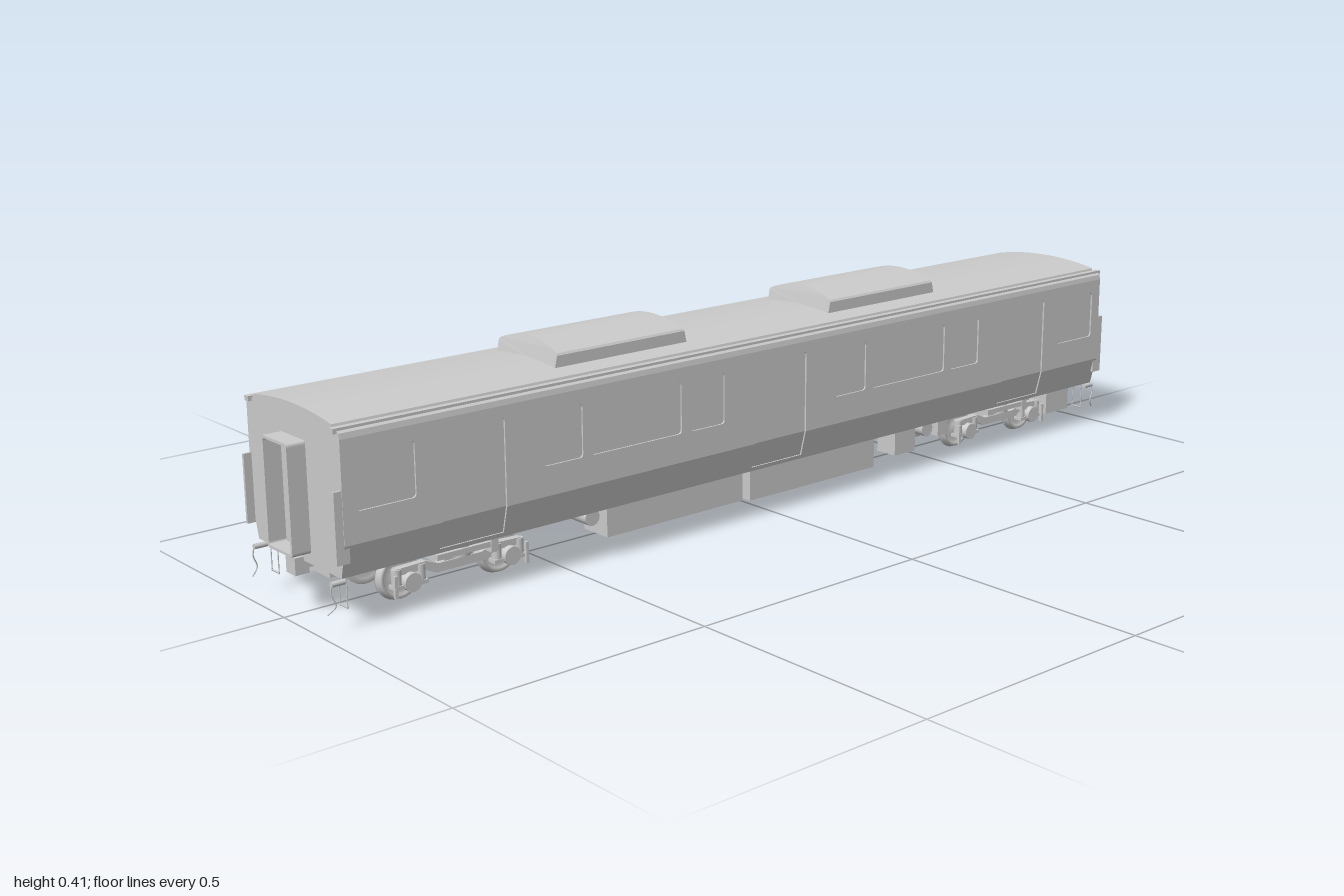
import * as THREE from 'three';

const grey = new THREE.MeshStandardMaterial({ color: 0xcccccc });
const UP = 0.335, WAIST = 0.155, SILL = 0.097;
const DOORS = [-0.71, 0, 0.71], DOOR_HALF = 0.066;
// [start, end] of each window on the +z half of a side
const WINDOWS = [[0.145, 0.23], [0.25, 0.46], [0.478, 0.565], [0.825, 0.94]];

function add(parent, name, geo, x = 0, y = 0, z = 0) {
  const mesh = new THREE.Mesh(geo, grey);
  mesh.name = name;
  mesh.position.set(x, y, z);
  parent.add(mesh);
  return mesh;
}
function box(parent, name, x0, x1, y0, y1, z0, z1) {
  return add(parent, name, new THREE.BoxGeometry(x1 - x0, y1 - y0, Math.abs(z1 - z0)),
    (x0 + x1) / 2, (y0 + y1) / 2, (z0 + z1) / 2);
}
function cyl(parent, name, r, len, axis, x, y, z, seg = 20) {
  const g = new THREE.CylinderGeometry(r, r, len, seg);
  if (axis === 'x') g.rotateZ(Math.PI / 2);
  if (axis === 'z') g.rotateX(Math.PI / 2);
  return add(parent, name, g, x, y, z);
}
function extrude(shape, depth) {
  return new THREE.ExtrudeGeometry(shape, { depth, bevelEnabled: false, curveSegments: 5 });
}
// shape drawn in (z, y), thickness running inward from x = 0
function extrudeSide(shape, depth) {
  return extrude(shape, depth).rotateY(-Math.PI / 2);
}
function polygon(points) {
  return new THREE.Shape(points.map(([a, b]) => new THREE.Vector2(a, b)));
}
function roundRect(x0, x1, y0, y1, r, S = THREE.Shape) {
  const s = new S();
  s.moveTo(x0 + r, y0).lineTo(x1 - r, y0).quadraticCurveTo(x1, y0, x1, y0 + r)
    .lineTo(x1, y1 - r).quadraticCurveTo(x1, y1, x1 - r, y1)
    .lineTo(x0 + r, y1).quadraticCurveTo(x0, y1, x0, y1 - r)
    .lineTo(x0, y0 + r).quadraticCurveTo(x0, y0, x0 + r, y0);
  return s;
}
// closed cross-section symmetric about x = 0, from the right half listed bottom to top
function section(half) {
  return polygon([...half, ...half.slice().reverse().filter(p => p[0] > 0).map(([x, y]) => [-x, y])]);
}
function arc(xMax, yEdge, yTop, n) {
  return Array.from({ length: n + 1 }, (_, i) => {
    const x = xMax * (1 - i / n);
    return [x, yTop - (yTop - yEdge) * (x / xMax) ** 2];
  });
}

// Side skin: upper panel with windows, sloping lower panel, door openings through both
function buildSide() {
  const side = new THREE.Group();
  side.name = 'sideWall';
  const L = 0.962, T = 0.004, top = 0.315, foot = 0.105, r = 0.008;
  const upper = new THREE.Shape().moveTo(-L, WAIST);
  for (const d of DOORS) {
    const a = d - DOOR_HALF, b = d + DOOR_HALF;
    upper.lineTo(a, WAIST).lineTo(a, top - r).quadraticCurveTo(a, top, a + r, top)
      .lineTo(b - r, top).quadraticCurveTo(b, top, b, top - r).lineTo(b, WAIST);
  }
  upper.lineTo(L, WAIST).lineTo(L, UP).lineTo(-L, UP);
  for (const [a, b] of WINDOWS) {
    upper.holes.push(roundRect(a, b, 0.21, 0.308, r, THREE.Path), roundRect(-b, -a, 0.21, 0.308, r, THREE.Path));
  }
  add(side, 'windowPanel', extrudeSide(upper, T), 0.15);

  const pts = [[-L, SILL], [L, SILL], [L, WAIST]];
  for (const d of [...DOORS].reverse()) {
    const a = d - DOOR_HALF, b = d + DOOR_HALF;
    pts.push([b, WAIST], [b, foot], [a, foot], [a, WAIST]);
  }
  pts.push([-L, WAIST]);
  const lower = extrudeSide(polygon(pts), T);
  const p = lower.attributes.position;
  for (let i = 0; i < p.count; i++) p.setX(i, p.getX(i) + (p.getY(i) - WAIST) * 0.25);
  lower.computeVertexNormals();
  add(side, 'lowerPanel', lower, 0.15);
  // corner guard plates, roof gutter
  for (const s of [-1, 1]) box(side, 'cornerPlate', 0.144, 0.149, 0.125, 0.25, s * 0.955, s * 0.98);
  box(side, 'gutter', 0.131, 0.143, 0.344, 0.353, -0.972, 0.972);
  return side;
}

function buildBody() {
  const body = new THREE.Group();
  body.name = 'body';
  const roof = [[0.15, UP], [0.148, 0.345], [0.142, 0.349], [0.128, 0.35], [0.126, 0.356], ...arc(0.12, 0.358, 0.368, 8)];
  const core = [[0.132, SILL], [0.1465, WAIST], [0.1465, UP], ...roof];
  add(body, 'shell', extrude(section(core), 1.92), 0, 0, -0.96);
  const end = extrude(section([[0.1355, SILL], [0.15, WAIST], ...roof]), 0.006);
  for (const s of [-1, 1]) {
    add(body, 'endWall', end, 0, 0, s * 0.962 - 0.003);
    const side = buildSide();
    side.rotation.y = s > 0 ? 0 : Math.PI;
    body.add(side);
  }
  return body;
}

// Roof unit with arched top and slightly raked ends
function buildRoofUnit(parent, z) {
  const g = extrude(section([[0.088, 0.35], [0.088, 0.384], [0.085, 0.388], ...arc(0.08, 0.39, 0.405, 8)]), 0.31);
  g.translate(0, 0, -0.155);
  const p = g.attributes.position;
  for (let i = 0; i < p.count; i++) p.setZ(i, p.getZ(i) * (1 - Math.max(0, p.getY(i) - 0.36) * 2));
  g.computeVertexNormals();
  add(parent, 'roofUnit', g, 0, 0, z);
}

// Everything on one end: gangway, coupler, steps and hoses
function buildEnd() {
  const end = new THREE.Group();
  end.name = 'endFittings';
  const frame = roundRect(-0.041, 0.041, 0.115, 0.311, 0.007);
  frame.holes.push(roundRect(-0.036, 0.036, 0.12, 0.306, 0.005, THREE.Path));
  add(end, 'gangwayFrame', extrude(frame, 0.04), 0, 0, 0.96);
  add(end, 'gangwayDoor', extrude(roundRect(-0.037, 0.037, 0.119, 0.307, 0.005), 0.004), 0, 0, 0.963);
  box(end, 'couplerHead', -0.015, 0.015, 0.073, 0.104, 0.955, 0.982);
  box(end, 'couplerShank', -0.008, 0.008, 0.08, 0.096, 0.86, 0.955);
  box(end, 'couplerCarrier', -0.05, 0.05, 0.07, 0.08, 0.92, 0.94);
  for (const s of [-1, 1]) {
    box(end, 'carrierHanger', s * 0.05 - 0.004, s * 0.05 + 0.004, 0.07, 0.1, 0.92, 0.94);
    // stirrup step
    for (const dx of [-0.012, 0.012]) cyl(end, 'stepRod', 0.0012, 0.06, 'y', s * 0.112 + dx, 0.068, 0.95, 6);
    cyl(end, 'stepRung', 0.0015, 0.026, 'x', s * 0.112, 0.04, 0.95, 6);
    cyl(end, 'jumperSocket', 0.005, 0.025, 'z', s * 0.127, 0.088, 0.968, 10);
    const hose = new THREE.CatmullRomCurve3([[0.127, 0.088, 0.98], [0.129, 0.072, 0.982], [0.13, 0.05, 0.975], [0.124, 0.036, 0.988]]
      .map(([x, y, z]) => new THREE.Vector3(s * x, y, z)));
    add(end, 'hose', new THREE.TubeGeometry(hose, 16, 0.0012, 6));
  }
  return end;
}

function buildBogie() {
  const bogie = new THREE.Group();
  bogie.name = 'bogie';
  // wheel turned about its axle: flange, tread, dished web
  const wheel = new THREE.LatheGeometry([[0, -0.004], [0.03, -0.003], [0.034, -0.006], [0.044, -0.006], [0.044, -0.003],
    [0.041, -0.002], [0.04, 0.007], [0.033, 0.007], [0.03, 0.002], [0.013, 0.004], [0.012, 0.008], [0, 0.008]]
    .map(([r, y]) => new THREE.Vector2(r, y)), 28).rotateZ(-Math.PI / 2);
  const frame = extrudeSide(polygon([[-0.13, 0.058], [-0.075, 0.058], [-0.05, 0.046], [0.05, 0.046], [0.075, 0.058],
    [0.13, 0.058], [0.13, 0.07], [0.07, 0.072], [0.045, 0.062], [-0.045, 0.062], [-0.07, 0.072], [-0.13, 0.07]]), 0.014);
  for (const s of [-1, 1]) {
    add(bogie, 'sideFrame', frame, s * 0.086 + 0.007);
    cyl(bogie, 'airSpring', 0.024, 0.028, 'y', s * 0.086, 0.082, 0);
    box(bogie, 'damper', s * 0.11 - 0.004, s * 0.11 + 0.004, 0.075, 0.085, -0.06, 0.06);
    box(bogie, 'damperMount', s * 0.11 - 0.012, s * 0.11 + 0.006, 0.065, 0.1, -0.065, -0.05);
    for (const e of [-1, 1]) {
      const z = e * 0.103;
      const w = add(bogie, 'wheel', wheel, s * 0.056, 0.044, z);
      if (s < 0) w.rotation.y = Math.PI;
      cyl(bogie, 'axleBox', 0.017, 0.03, 'x', s * 0.09, 0.044, z, 16);
      for (const k of [-1, 1]) cyl(bogie, 'primarySpring', 0.009, 0.03, 'y', s * 0.088, 0.054, z + k * 0.024, 12);
      box(bogie, 'springSeat', s * 0.088 - 0.01, s * 0.088 + 0.01, 0.034, 0.041, z - 0.034, z + 0.034);
      box(bogie, 'brakeHanger', s * 0.1 - 0.003, s * 0.1 + 0.003, 0.022, 0.062, z + e * 0.03, z + e * 0.036);
    }
  }
  for (const e of [-1, 1]) cyl(bogie, 'axle', 0.009, 0.19, 'x', 0, 0.044, e * 0.103, 16);
  box(bogie, 'bolster', -0.09, 0.09, 0.052, 0.075, -0.03, 0.03);
  cyl(bogie, 'centrePivot', 0.025, 0.03, 'y', 0, 0.085, 0);
  return bogie;
}

// Equipment hung below the floor: x0, x1, bottom y, z0, z1
function buildUnderfloor() {
  const under = new THREE.Group();
  under.name = 'underfloor';
  const cases = [
    [0.06, 0.128, 0.04, 0.08, 0.41], [0.06, 0.128, 0.035, -0.28, 0.06], [0.075, 0.125, 0.045, -0.405, -0.345],
    [-0.128, -0.06, 0.037, -0.285, 0.04], [-0.125, -0.075, 0.045, 0.11, 0.16], [-0.125, -0.07, 0.055, 0.18, 0.25],
    [-0.12, -0.07, 0.06, 0.47, 0.51], [0.07, 0.12, 0.06, -0.51, -0.48], [0.055, 0.11, 0.04, -0.92, -0.845],
    [-0.12, -0.075, 0.055, -0.42, -0.36],
  ];
  for (const [x0, x1, y, z0, z1] of cases) box(under, 'equipmentCase', x0, x1, y, 0.1, z0, z1);
  const tank = add(under, 'airTank', new THREE.CapsuleGeometry(0.026, 0.04, 6, 16), -0.092, 0.068, 0.065);
  tank.rotation.x = Math.PI / 2;
  cyl(under, 'smallTank', 0.016, 0.1, 'x', 0.07, 0.082, 0.437);
  cyl(under, 'smallTank', 0.016, 0.1, 'x', 0.07, 0.082, -0.447);
  return under;
}

export function createModel() {
  const model = new THREE.Group();
  model.name = 'railCar';
  model.add(buildBody(), buildUnderfloor());
  for (const s of [-1, 1]) {
    buildRoofUnit(model, s * 0.337);
    const end = buildEnd();
    end.rotation.y = s > 0 ? 0 : Math.PI;
    const bogie = buildBogie();
    bogie.position.z = s * 0.706;
    model.add(end, bogie);
  }
  return model;
}
